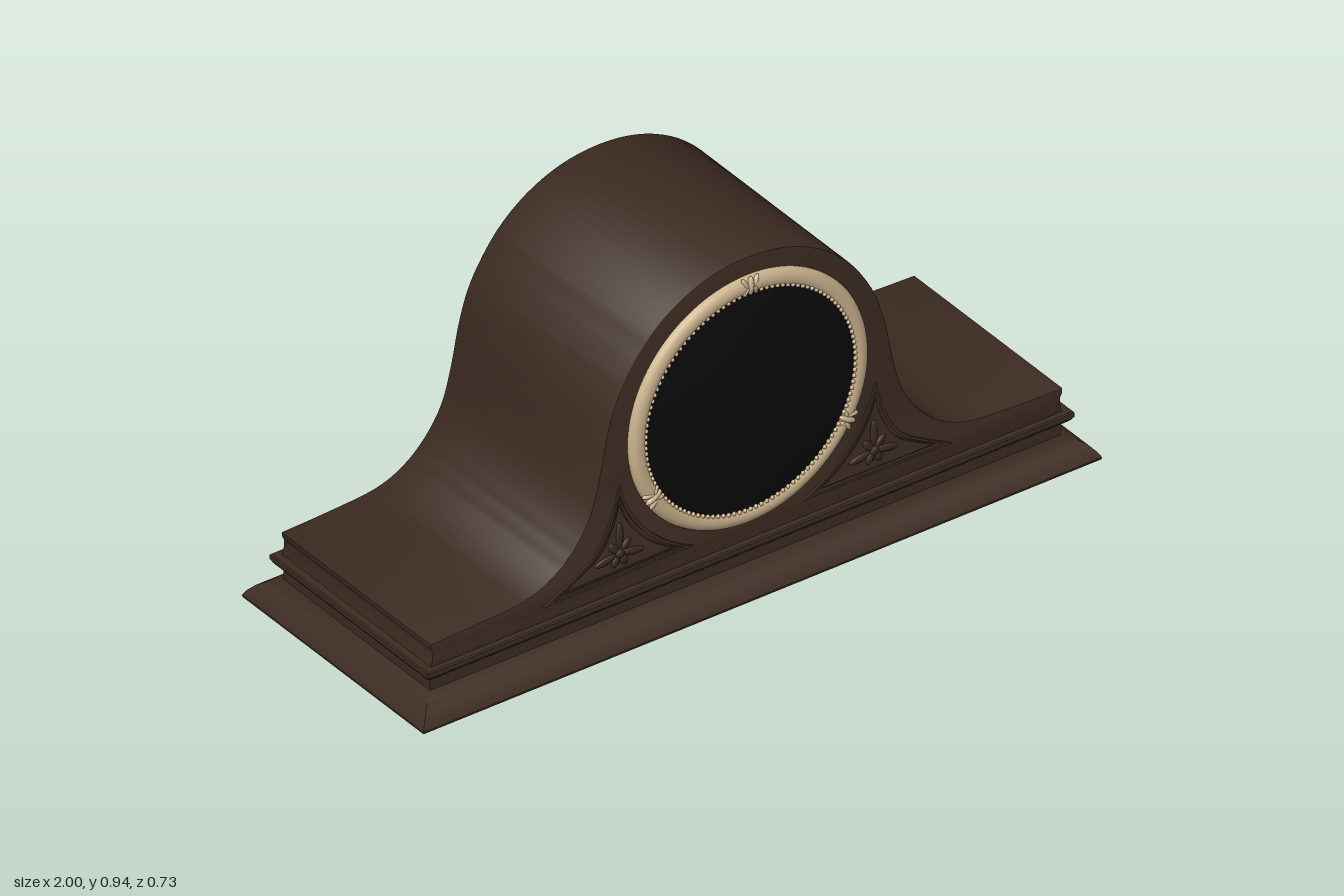
import * as THREE from 'three';
import { toCreasedNormals, mergeGeometries } from 'three/addons/utils/BufferGeometryUtils.js';

const wood = new THREE.MeshStandardMaterial({ name: 'dark wood', color: 0x3d2c22 });
const brass = new THREE.MeshStandardMaterial({ name: 'pale brass', color: 0xcdb48f });
const black = new THREE.MeshStandardMaterial({ name: 'black glass', color: 0x0a0a0a });

const DIAL_Y = 0.535;
const V = (x, y) => new THREE.Vector2(x, y);

export function createModel() {
  const model = new THREE.Group();
  model.name = 'mantelClock';

  const add = (name, geometry, material, parent = model) => {
    const mesh = new THREE.Mesh(geometry, material);
    mesh.name = name;
    parent.add(mesh);
    return mesh;
  };
  const extrude = (shape, z0, z1, bevel) => {
    const g = new THREE.ExtrudeGeometry(shape, {
      depth: z1 - z0 - 2 * bevel, bevelEnabled: bevel > 0, bevelThickness: bevel,
      bevelSize: bevel, bevelOffset: -bevel, bevelSegments: 2, curveSegments: 48,
    });
    g.translate(0, 0, z0 + bevel);
    return toCreasedNormals(g, 0.5);
  };
  const ellipsoid = (x, y, z, sx, sy, sz, angle = 0) => {
    const g = new THREE.SphereGeometry(1, 12, 8);
    return g.scale(sx, sy, sz).rotateZ(angle).translate(x, y, z);
  };

  // Stepped rectangular base: a four-sided lathe stretched along x
  const steps = [
    [0.0001, 0], [0.365, 0], [0.366, 0.006], [0.358, 0.02], [0.343, 0.037], [0.323, 0.05], [0.295, 0.06],
    [0.295, 0.095], [0.303, 0.096], [0.312, 0.104], [0.319, 0.115], [0.319, 0.127], [0.316, 0.13], [0.0001, 0.13],
  ];
  const base = new THREE.LatheGeometry(steps.map(([r, y]) => V(r * Math.SQRT2, y)), 4, Math.PI / 4);
  const pos = base.attributes.position;
  for (let i = 0; i < pos.count; i++) pos.setX(i, pos.getX(i) + Math.sign(pos.getX(i)) * 0.634);
  add('steppedBase', toCreasedNormals(base, 0.5), wood);

  // Hump-shaped case
  const half = [
    [0.932, 0.194], [0.8, 0.199], [0.66, 0.21], [0.575, 0.243], [0.51, 0.3], [0.462, 0.375], [0.434, 0.47],
    [0.407, 0.6], [0.371, 0.7], [0.3, 0.805], [0.212, 0.878], [0.11, 0.922],
  ];
  const outline = new THREE.SplineCurve([
    ...half.map(([x, y]) => V(x, y)), V(0, 0.936), ...half.map(([x, y]) => V(-x, y)).reverse(),
  ]).getPoints(96);
  const caseShape = new THREE.Shape([
    V(-0.932, 0.12), V(0.932, 0.12), V(0.926, 0.15), V(0.925, 0.17), V(0.932, 0.183),
    ...outline, V(-0.932, 0.183), V(-0.925, 0.17), V(-0.926, 0.15),
  ]);
  add('case', extrude(caseShape, -0.301, 0.301, 0.004), wood);

  // Arched back door with its small knob
  const door = new THREE.Shape();
  door.moveTo(-0.355, 0.195);
  door.lineTo(0.355, 0.195);
  door.lineTo(0.355, 0.51);
  door.absarc(0, 0.51, 0.355, 0, Math.PI, false);
  door.closePath();
  add('backDoor', extrude(door, -0.31, -0.296, 0.003), wood);
  const knob = new THREE.CylinderGeometry(0.02, 0.02, 0.012, 20).rotateX(Math.PI / 2);
  add('doorKnob', knob.translate(0.155, 0.545, -0.309), wood);

  // Dial: domed glass inside a rounded bezel
  const dial = new THREE.Group();
  dial.name = 'dial';
  dial.position.y = DIAL_Y;
  model.add(dial);
  const turned = (points) =>
    new THREE.LatheGeometry(points.map(([r, z]) => V(r, z)), 96).rotateX(Math.PI / 2);
  add('bezel', turned([
    [0.351, 0.298], [0.352, 0.306], [0.348, 0.313], [0.339, 0.319], [0.328, 0.321],
    [0.317, 0.32], [0.31, 0.316], [0.306, 0.31],
  ]), brass, dial);
  const dome = [];
  for (let i = 0; i <= 12; i++) {
    const t = 1 - i / 12;
    dome.push([0.309 * t, 0.341 - 0.027 * t * t]);
  }
  add('glass', turned(dome), black, dial);

  // Beaded inner rim
  const beads = [];
  for (let i = 0; i < 120; i++) {
    const a = (i / 120) * Math.PI * 2;
    beads.push(new THREE.SphereGeometry(0.006, 6, 4).translate(0.309 * Math.cos(a), 0.309 * Math.sin(a), 0.316));
  }
  add('bezelBeads', mergeGeometries(beads), brass, dial);

  // Three leaf clasps on the bezel
  for (let i = 0; i < 3; i++) {
    const clasp = mergeGeometries([
      ellipsoid(0, 0.33, 0.317, 0.009, 0.026, 0.009),
      ellipsoid(0.014, 0.336, 0.315, 0.007, 0.02, 0.008, -0.5),
      ellipsoid(-0.014, 0.336, 0.315, 0.007, 0.02, 0.008, 0.5),
      ellipsoid(0.012, 0.318, 0.316, 0.006, 0.014, 0.007, 0.6),
      ellipsoid(-0.012, 0.318, 0.316, 0.006, 0.014, 0.007, -0.6),
    ]);
    add('bezelClasp', clasp.rotateZ((i * Math.PI * 2) / 3), brass, dial);
  }

  // Carved corner panels beside the dial
  const spandrelEdge = [];
  for (let i = 0; i <= 16; i++) {
    const a = -1.146 + (i / 16) * 0.873;
    spandrelEdge.push(V(0.392 * Math.cos(a), DIAL_Y + 0.392 * Math.sin(a)));
  }
  const outer = new THREE.SplineCurve([V(0.378, 0.43), V(0.405, 0.34), V(0.465, 0.25), V(0.6, 0.172)]);
  spandrelEdge.push(...outer.getPoints(16).slice(1));
  const cx = 0.375, cy = 0.238;
  const scaled = (k, side) => spandrelEdge.map((p) => V(side * (cx + (p.x - cx) * k), cy + (p.y - cy) * k));
  for (const side of [1, -1]) {
    const carving = new THREE.Group();
    carving.name = side > 0 ? 'leftCarving' : 'rightCarving';
    model.add(carving);
    for (const [k0, k1, z] of [[1, 0.88, 0.307], [0.8, 0.74, 0.304]]) {
      const frame = new THREE.Shape(scaled(k0, side));
      frame.holes.push(new THREE.Path(scaled(k1, side)));
      add('carvedFrame', extrude(frame, 0.298, z, 0), wood, carving);
    }
    const leaves = [ellipsoid(side * cx, cy, 0.301, 0.014, 0.014, 0.009)];
    for (const [angle, length] of [[0, 0.065], [0.75, 0.034], [-0.75, 0.034], [1.75, 0.055], [-1.75, 0.055], [2.6, 0.03], [-2.6, 0.03]]) {
      leaves.push(ellipsoid(
        side * cx - Math.sin(angle) * length * 0.75, cy + Math.cos(angle) * length * 0.75, 0.301,
        0.011, length * 0.6, 0.006, angle,
      ));
    }
    add('carvedLeaves', mergeGeometries(leaves), wood, carving);
  }

  return model;
}
